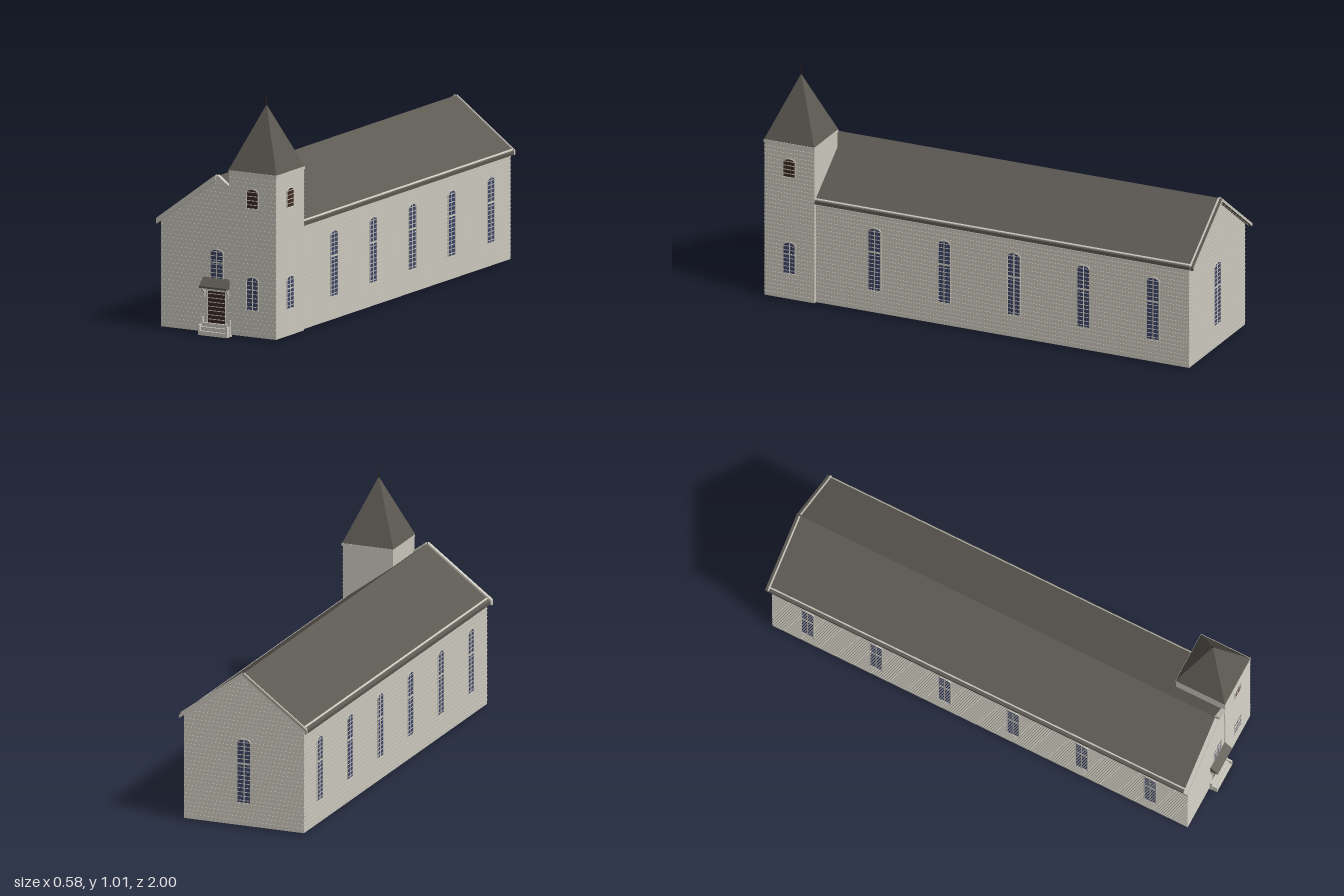
import * as THREE from 'three';

const mat = (name, color) => {
  const m = new THREE.MeshStandardMaterial({ color });
  m.name = name;
  return m;
};

export function createModel() {
  const siding = mat('siding cream', 0xcbc8bd);
  const shingle = mat('roof grey', 0x5c5852);
  const glass = mat('glass blue', 0x3c4468);
  const wood = mat('dark wood', 0x3b281f);
  const church = new THREE.Group();
  church.name = 'church';

  const add = (name, geo, material, parent = church) => {
    const m = new THREE.Mesh(geo, material);
    m.name = name;
    parent.add(m);
    return m;
  };
  // box given by its minimum and maximum corners
  const box = (name, x0, x1, y0, y1, z0, z1, material, parent) => {
    const m = add(name, new THREE.BoxGeometry(x1 - x0, y1 - y0, z1 - z0), material, parent);
    m.position.set((x0 + x1) / 2, (y0 + y1) / 2, (z0 + z1) / 2);
    return m;
  };
  const poly = (pts) => new THREE.Shape(pts.map(([x, y]) => new THREE.Vector2(x, y)));
  const prism = (name, shape, z0, z1, material, parent) => {
    const geo = new THREE.ExtrudeGeometry(shape, { depth: z1 - z0, bevelEnabled: false, curveSegments: 6 });
    geo.translate(0, 0, z0);
    return add(name, geo, material, parent);
  };

  // main dimensions
  const W = 0.27, BASE = 0.01, EAVE = 0.46, RIDGE = 0.665, T = 0.006;
  const FRONT = 0.965, BACK = -0.975;
  const TX0 = 0.06, TX1 = 0.285, TZ0 = 0.74, TZ1 = 0.969, TTOP = 0.7;
  const SLOPE = 0.74, LAP = 0.018, OUT = 0.002;

  // nave walls, open underneath
  const gable = [[-W, BASE], [W, BASE], [W, EAVE], [0, RIDGE - 0.005], [-W, EAVE]];
  prism('frontWall', poly(gable), FRONT - T, FRONT, siding);
  prism('backWall', poly(gable), BACK, BACK + T, siding);
  box('leftWall', W - T, W, BASE, EAVE, BACK, TZ0, siding);
  box('rightWall', -W, -W + T, BASE, EAVE, BACK, FRONT, siding);

  // tower walls
  box('towerFront', TX0, TX1, BASE, TTOP, TZ1 - T, TZ1, siding);
  box('towerOuterSide', TX1 - T, TX1, BASE, TTOP, TZ0, TZ1, siding);
  box('towerInnerSide', TX0, TX0 + T, EAVE, TTOP, TZ0, TZ1, siding);
  box('towerBack', TX0, TX1, EAVE - 0.02, TTOP, TZ0, TZ0 + T, siding);
  box('towerBackReturn', W - T, TX1, BASE, EAVE, TZ0, TZ0 + T, siding);
  box('towerCornice', TX0 - 0.001, TX1 + 0.005, TTOP - 0.006, TTOP + 0.006, TZ0 - 0.002, TZ1 + 0.002, siding);

  // thin clapboard laps around the outside
  const laps = new THREE.Group();
  laps.name = 'clapboardLaps';
  church.add(laps);
  for (let y = BASE + LAP; y < TTOP - 0.01; y += LAP) {
    const y1 = y + 0.003;
    const half = Math.min(W, (RIDGE - 0.015 - y) / SLOPE);
    if (half > 0.01) {
      box('frontLap', -half, Math.min(half, TX0), y, y1, FRONT, FRONT + OUT, siding, laps);
      box('backLap', -half, half, y, y1, BACK - OUT, BACK, siding, laps);
    }
    if (y < EAVE - 0.01) {
      box('leftLap', W, W + OUT, y, y1, BACK, TZ0, siding, laps);
      box('rightLap', -W - OUT, -W, y, y1, BACK, FRONT, siding, laps);
    }
    box('towerFrontLap', TX0, TX1, y, y1, TZ1, TZ1 + OUT, siding, laps);
    box('towerSideLap', TX1, TX1 + OUT, y, y1, TZ0, TZ1, siding, laps);
  }

  // roof slopes with pale rake ends, rake boards and eave strips
  for (const s of [-1, 1]) {
    const edge = s < 0 ? 0.288 : 0.282;
    const zEnd = s < 0 ? 0.968 : 0.95;
    const band = (x0, x1, top, thick) => poly([
      [s * x0, top - x0 * SLOPE], [s * x1, top - x1 * SLOPE],
      [s * x1, top - x1 * SLOPE - thick], [s * x0, top - x0 * SLOPE - thick],
    ]);
    const side = s < 0 ? 'right' : 'left';
    prism(side + 'Roof', band(0, edge, 0.674, 0.014), -1, zEnd, [siding, shingle]);
    prism(side + 'BackRake', band(0.004, edge, 0.681, 0.022), -0.988, -0.982, siding);
    prism(side + 'EaveStrip', band(0.272, 0.277, 0.677, 0.005), -0.99, s < 0 ? FRONT : TZ0, siding);
    prism(side + 'FrontRake', band(0.004, s < 0 ? 0.292 : TX0, 0.683, 0.024), 0.955, 0.972, siding);
  }

  // spire and finial
  const hx = 0.1155;
  const spireGeo = new THREE.ConeGeometry(hx * Math.SQRT2, 0.27, 4, 1).toNonIndexed();
  spireGeo.rotateY(Math.PI / 4);
  spireGeo.computeVertexNormals();
  const cx = (TX0 + TX1) / 2, cz = (TZ0 + TZ1) / 2;
  add('spire', spireGeo, shingle).position.set(cx, 0.841, cz);
  add('finial', new THREE.CylinderGeometry(0.002, 0.002, 0.045, 6), wood).position.set(cx, 0.987, cz);

  // arched outline with a shallow curved head
  const arch = (w, h, Type = THREE.Shape) => {
    const p = new Type();
    p.moveTo(-w / 2, 0);
    p.lineTo(w / 2, 0);
    p.lineTo(w / 2, h - w * 0.22);
    p.quadraticCurveTo(w * 0.36, h, 0, h);
    p.quadraticCurveTo(-w * 0.36, h, -w / 2, h - w * 0.22);
    p.lineTo(-w / 2, 0);
    return p;
  };
  // arched opening facing local +z, its pane passing through the wall
  const opening = (name, x, y, z, turn, w, h, pane, mullion) => {
    const g = new THREE.Group();
    g.name = name;
    g.position.set(x, y, z);
    g.rotation.y = turn;
    church.add(g);
    prism('pane', arch(w, h), -T - 0.002, 0.001, pane, g);
    const frame = arch(w + 0.006, h + 0.003);
    frame.holes.push(arch(w - 0.001, h - 0.001, THREE.Path));
    prism('frame', frame, 0, 0.004, siding, g);
    box('keystone', -0.004, 0.004, h, h + 0.006, 0, 0.004, siding, g);
    if (mullion) {
      box('mullion', -0.002, 0.002, 0, h - 0.003, 0, 0.003, siding, g);
      box('meetingRail', -w / 2, w / 2, h * 0.6, h * 0.6 + 0.005, 0, 0.003, siding, g);
    }
  };

  const R = Math.PI / 2;
  for (let i = 0; i < 6; i++) {
    const z = 0.79 - i * 0.32;
    opening('rightWindow', -W, 0.11, z, -R, 0.055, 0.275, glass, true);
    if (i > 0) opening('leftWindow', W, 0.11, z, R, 0.055, 0.275, glass, true);
  }
  opening('backWindow', 0, 0.11, BACK, Math.PI, 0.058, 0.275, glass, true);
  opening('entranceWindow', -0.002, 0.22, FRONT, 0, 0.062, 0.142, glass, true);
  for (const [x, z, turn] of [[cx, TZ1, 0], [TX1, cz, R]]) {
    opening('towerWindow', x, 0.125, z, turn, 0.053, 0.137, glass, true);
    opening('belfryLouvre', x, 0.555, z, turn, 0.053, 0.08, wood, false);
  }

  // door with pale casing
  const dx = -0.003;
  box('door', dx - 0.042, dx + 0.042, 0.05, 0.184, FRONT - T - 0.002, FRONT + 0.001, wood);
  for (const s of [-1, 1]) {
    const x = dx + s * 0.044;
    box('doorCasing', x - 0.002, x + 0.002, 0.05, 0.187, FRONT, FRONT + 0.004, siding);
  }

  // sloping entrance canopy on brackets
  const canopy = prism('canopy', poly([[0, 0.242], [0.035, 0.208], [0.035, 0.2], [0, 0.2]]), -0.065, 0.065, shingle);
  canopy.rotation.y = -R;
  canopy.position.set(dx, 0, FRONT);
  for (const s of [-1, 1]) {
    const x = dx + s * 0.057;
    box('bracketPost', x - 0.003, x + 0.003, 0.16, 0.2, FRONT, FRONT + 0.006, siding);
    const brace = prism('bracketBrace', poly([[0, 0.168], [0.028, 0.2], [0.02, 0.2], [0, 0.178]]), -0.003, 0.003, siding);
    brace.rotation.y = -R;
    brace.position.set(x, 0, FRONT);
  }

  // entrance steps with cheek walls
  for (let i = 0; i < 3; i++) {
    box('step', dx - 0.062, dx + 0.062, 0, 0.018 + i * 0.016, FRONT - T, 1 - i * 0.011, siding);
  }
  for (const s of [-1, 1]) {
    const x = dx + s * 0.066;
    box('stepCheek', x - 0.004, x + 0.004, 0, 0.045, FRONT - T, 1, siding);
    box('cheekPost', x - 0.005, x + 0.005, 0, 0.072, FRONT - T, FRONT + 0.012, siding);
  }
  return church;
}
